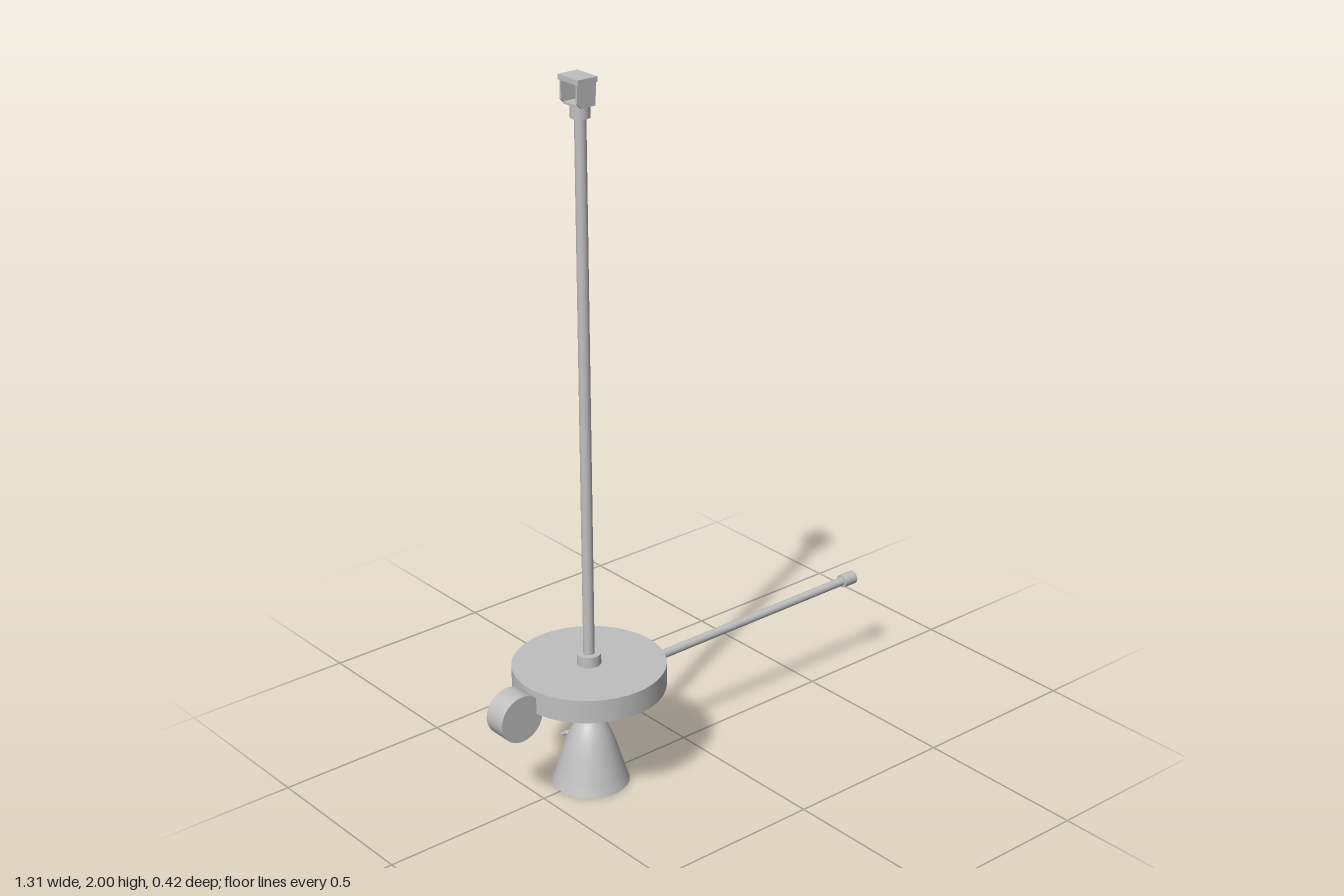
import * as THREE from 'three';

const AXIS = -0.336; // x of the upright
const ARM_Y = 0.295;

export function createModel() {
  const model = new THREE.Group();
  model.name = 'balanceArmStand';
  const grey = new THREE.MeshStandardMaterial({ color: 0xbfbfbf, side: THREE.DoubleSide });
  grey.name = 'light grey';

  const add = (name, geometry, x, y, z = 0) => {
    const mesh = new THREE.Mesh(geometry, grey);
    mesh.name = name;
    mesh.position.set(x, y, z);
    model.add(mesh);
    return mesh;
  };
  // upright cylinder between two heights
  const post = (name, r, y0, y1, sides = 32) =>
    add(name, new THREE.CylinderGeometry(r, r, y1 - y0, sides), AXIS, (y0 + y1) / 2);
  // horizontal cylinder along x
  const bar = (name, r, x0, x1) =>
    add(name, new THREE.CylinderGeometry(r, r, x1 - x0, 32).rotateZ(Math.PI / 2), (x0 + x1) / 2, ARM_Y);

  // upright with its disc and collars
  post('disc', 0.21, 0.295, 0.362, 96);
  post('lowerCollar', 0.033, 0.362, 0.393);
  post('pole', 0.0155, 0.362, 1.9);
  post('upperCollar', 0.026, 1.892, 1.928);

  // channel bracket, open along x
  add('bracketTop', new THREE.BoxGeometry(0.061, 0.014, 0.08), -0.342, 1.993);
  add('bracketBase', new THREE.BoxGeometry(0.052, 0.006, 0.064), -0.338, 1.928);
  const wall = new THREE.Shape([
    [-0.372, 1.99], [-0.372, 1.938], [-0.36, 1.925], [-0.314, 1.925], [-0.312, 1.99],
  ].map(([x, y]) => new THREE.Vector2(x, y)));
  for (const side of [-1, 1]) {
    const geometry = new THREE.ExtrudeGeometry(wall, { depth: 0.005, bevelEnabled: false });
    add('bracketWall', geometry, 0, 0, side * 0.032 - 0.0025);
  }

  // horizontal arm, end cap and counterweight
  bar('arm', 0.0125, -0.56, 0.62);
  bar('armCap', 0.0195, 0.609, 0.655);
  add('counterweight', new THREE.CylinderGeometry(0.067, 0.067, 0.068, 64).rotateX(Math.PI / 2), -0.59, ARM_Y);

  // pivot and spindle below the disc
  add('pivot', new THREE.SphereGeometry(0.022, 24, 16), AXIS, ARM_Y);
  post('spindle', 0.006, 0.2, 0.29, 16);

  // open flared bell
  post('bellCollar', 0.029, 0.188, 0.212);
  const profile = new THREE.SplineCurve([
    [0.107, 0], [0.097, 0.03], [0.085, 0.07], [0.071, 0.115], [0.053, 0.16], [0.032, 0.195],
  ].map(([r, y]) => new THREE.Vector2(r, y))).getPoints(20);
  add('bell', new THREE.LatheGeometry(profile, 64), AXIS, 0);

  // small thumb screw at the back of the bell
  add('screwStem', new THREE.CylinderGeometry(0.006, 0.006, 0.05, 16).rotateX(Math.PI / 2), AXIS, 0.097, -0.085);
  add('screwHandle', new THREE.CylinderGeometry(0.005, 0.005, 0.036, 16).rotateZ(Math.PI / 2), AXIS, 0.097, -0.107);

  return model;
}
